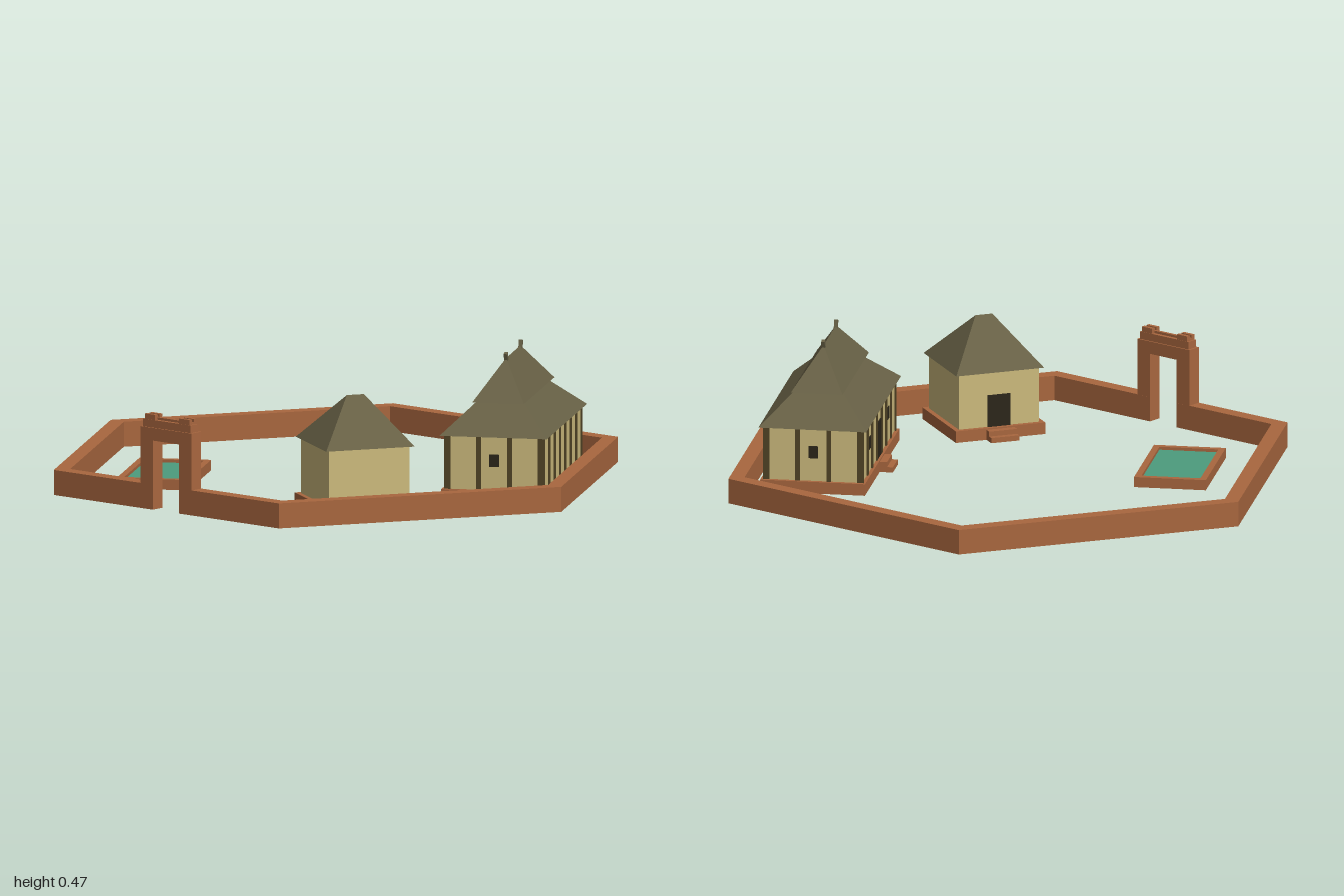
import * as THREE from 'three';

const mat = (color) => new THREE.MeshStandardMaterial({ color, flatShading: true, side: THREE.DoubleSide });
const CLAY = mat(0xa9673f), PLASTER = mat(0xcdbb7d), ROOF = mat(0x676045);
const TIMBER = mat(0x514426), DARK = mat(0x2c261a), WATER = mat(0x4d9c7e);

function add(parent, name, geometry, material, x = 0, y = 0, z = 0) {
  const mesh = new THREE.Mesh(geometry, material);
  mesh.name = name;
  mesh.position.set(x, y, z);
  parent.add(mesh);
  return mesh;
}

// Box given by its extents
function block(parent, name, material, x0, x1, y0, y1, z0, z1) {
  return add(parent, name, new THREE.BoxGeometry(x1 - x0, y1 - y0, z1 - z0), material,
    (x0 + x1) / 2, (y0 + y1) / 2, (z0 + z1) / 2);
}

function group(parent, name, x, z, degrees) {
  const g = new THREE.Group();
  g.name = name;
  g.position.set(x, 0, z);
  g.rotation.y = THREE.MathUtils.degToRad(degrees);
  parent.add(g);
  return g;
}

// Polygon in plan, raised to a height
function raise(shape, height) {
  const geo = new THREE.ExtrudeGeometry(shape, { depth: height, bevelEnabled: false });
  return geo.rotateX(-Math.PI / 2);
}

// Rectangular kerb, open in the middle
function kerb(parent, name, a, b, width, height) {
  const rect = (p, q) => [[-p, -q], [p, -q], [p, q], [-p, q]].map(([x, y]) => new THREE.Vector2(x, y));
  const shape = new THREE.Shape(rect(a, b));
  shape.holes.push(new THREE.Path(rect(a - width, b - width).reverse()));
  return add(parent, name, raise(shape, height), CLAY);
}

// Hipped roof: a box whose top is drawn in to half sizes a1, b1
function hipRoof(parent, name, a0, b0, y0, a1, b1, y1) {
  const geo = new THREE.BoxGeometry(2 * a0, y1 - y0, 2 * b0);
  const p = geo.attributes.position;
  for (let i = 0; i < p.count; i++) {
    if (p.getY(i) > 0) p.setXYZ(i, Math.sign(p.getX(i)) * a1, p.getY(i), Math.sign(p.getZ(i)) * b1);
  }
  geo.computeVertexNormals();
  return add(parent, name, geo, ROOF, 0, (y0 + y1) / 2, 0);
}

function steps(parent, front) {
  block(parent, 'upperStep', CLAY, -0.05, 0.05, 0, 0.035, front, front + 0.025);
  block(parent, 'lowerStep', CLAY, -0.05, 0.05, 0, 0.018, front + 0.025, front + 0.045);
}

// Hexagonal wall with a gap for the gate
function buildWall(root) {
  const gap = 0.06, corners = [-60, 0, 60, 120, 180, 240];
  const ring = (r) => {
    const pts = corners.map((d) => {
      const t = THREE.MathUtils.degToRad(d);
      return new THREE.Vector2(r * Math.cos(t), r * Math.sin(t));
    });
    const y = -r * Math.sin(Math.PI / 3);
    return [new THREE.Vector2(gap, y), ...pts, new THREE.Vector2(-gap, y)];
  };
  const shape = new THREE.Shape([...ring(1), ...ring(0.942).reverse()]);
  add(root, 'boundaryWall', raise(shape, 0.085), CLAY);
}

function buildGate(root) {
  const gate = group(root, 'gate', -0.002, 0.841, 0);
  for (const s of [-1, 1]) {
    add(gate, 'gatePost', new THREE.BoxGeometry(0.055, 0.235, 0.05), CLAY, s * 0.0855, 0.1175, 0);
    // Pair of raised stones on each end of the coping
    for (const z of [-0.012, 0.012]) {
      add(gate, 'copingStone', new THREE.BoxGeometry(0.045, 0.018, 0.014), CLAY, s * 0.076, 0.313, z);
    }
  }
  block(gate, 'gateLintel', CLAY, -0.113, 0.113, 0.235, 0.278, -0.025, 0.025);
  block(gate, 'gateCoping', CLAY, -0.105, 0.105, 0.278, 0.304, -0.02, 0.02);
  block(gate, 'copingRib', CLAY, -0.098, 0.098, 0.304, 0.312, -0.006, 0.006);
}

function buildHall(root) {
  const hall = group(root, 'hall', 0.535, -0.29, -60);
  const a = 0.33, b = 0.16, y0 = 0.03, y1 = 0.225, t = 0.006;
  kerb(hall, 'hallBase', 0.35, 0.178, 0.03, 0.04);
  steps(hall, 0.178);

  // Thin walls, open below
  for (const s of [-1, 1]) {
    block(hall, 'longWall', PLASTER, -a, a, y0, y1, s * b - t, s * b + t);
    block(hall, 'endWall', PLASTER, s * a - t, s * a + t, y0, y1, -b, b);
  }

  // Timber posts: seven bays long, three bays deep
  const post = new THREE.BoxGeometry(0.016, y1 - y0, 0.022);
  for (const s of [-1, 1]) {
    for (let i = 0; i <= 7; i++) {
      add(hall, 'post', post, TIMBER, a * (2 * i / 7 - 1), (y0 + y1) / 2, s * b);
    }
    for (let i = 1; i < 3; i++) {
      const m = add(hall, 'endPost', post, TIMBER, s * a, (y0 + y1) / 2, b * (2 * i / 3 - 1));
      m.rotation.y = Math.PI / 2;
    }
    // Windows beside the door and in each end
    add(hall, 'frontWindow', new THREE.BoxGeometry(0.032, 0.042, 0.018), DARK, s * 0.188, 0.14, b);
    add(hall, 'endWindow', new THREE.BoxGeometry(0.018, 0.042, 0.032), DARK, s * a, 0.14, 0);
  }
  block(hall, 'hallDoor', DARK, -0.045, 0.045, 0.04, 0.165, b - 0.01, b + 0.01);

  // Two-tier roof with ridge horns
  hipRoof(hall, 'lowerRoof', 0.355, 0.183, 0.222, 0.215, 0.075, 0.326);
  hipRoof(hall, 'upperRoof', 0.268, 0.088, 0.324, 0.127, 0, 0.454);
  for (const s of [-1, 1]) {
    const horn = add(hall, 'ridgeHorn', new THREE.BoxGeometry(0.016, 0.034, 0.012), ROOF, s * 0.127, 0.455, 0);
    horn.rotation.z = -s * 0.3;
  }
}

function buildHut(root) {
  const hut = group(root, 'hut', 0.446, 0.414, -120);
  const a = 0.143;
  kerb(hut, 'hutBase', 0.16, 0.16, 0.03, 0.04);
  steps(hut, 0.16);
  block(hut, 'hutWalls', PLASTER, -a, a, 0.02, 0.232, -a, a);
  block(hut, 'hutDoor', DARK, -0.04, 0.04, 0.04, 0.15, a - 0.01, a + 0.004);
  hipRoof(hut, 'hutRoof', 0.157, 0.157, 0.23, 0.03, 0, 0.39);
}

function buildPool(root) {
  const pool = group(root, 'pool', -0.425, 0.39, -60);
  kerb(pool, 'poolKerb', 0.203, 0.122, 0.022, 0.035);
  block(pool, 'water', WATER, -0.182, 0.182, 0.015, 0.025, -0.101, 0.101);
}

export function createModel() {
  const root = new THREE.Group();
  root.name = 'walledCompound';
  buildWall(root);
  buildGate(root);
  buildHall(root);
  buildHut(root);
  buildPool(root);
  return root;
}
